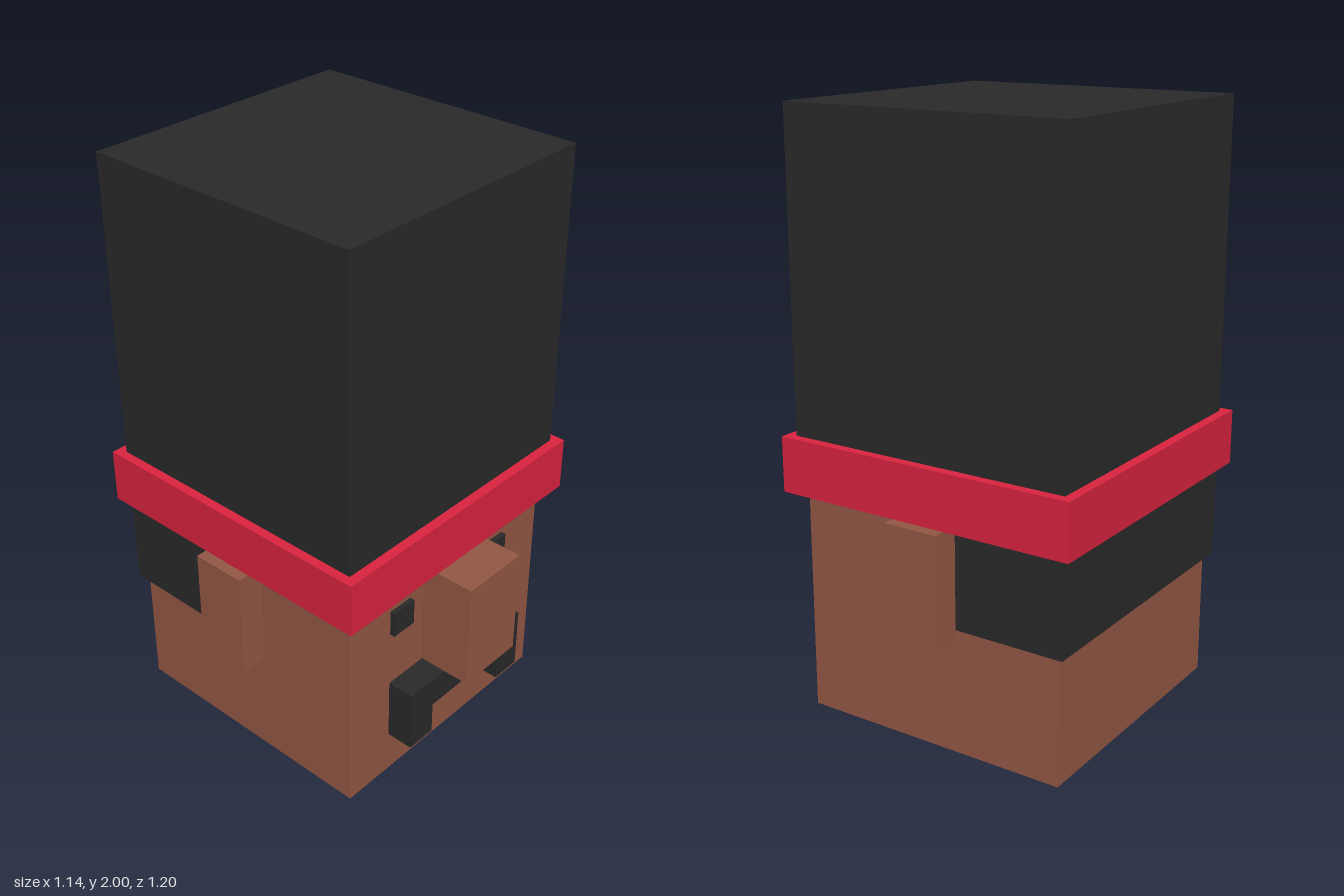
import * as THREE from 'three';

const skin = new THREE.MeshStandardMaterial({ color: 0x955945 });
const black = new THREE.MeshStandardMaterial({ color: 0x2a2a2a });
const red = new THREE.MeshStandardMaterial({ color: 0xdc2440 });

// Box given by its lower and upper limits on each axis
function block(name, material, [x0, x1], [y0, y1], [z0, z1]) {
  const mesh = new THREE.Mesh(new THREE.BoxGeometry(x1 - x0, y1 - y0, z1 - z0), material);
  mesh.position.set((x0 + x1) / 2, (y0 + y1) / 2, (z0 + z1) / 2);
  mesh.name = name;
  return mesh;
}

// Moustache: a bar with two drooping ends, cut as one outline
function moustache() {
  const outline = [
    [-0.285, 0.155], [-0.175, 0.155], [-0.175, 0.27], [0.175, 0.27],
    [0.175, 0.155], [0.285, 0.155], [0.285, 0.38], [-0.285, 0.38],
  ].map(([x, y]) => new THREE.Vector2(x, y));
  const geometry = new THREE.ExtrudeGeometry(new THREE.Shape(outline), { depth: 0.105, bevelEnabled: false });
  const mesh = new THREE.Mesh(geometry, black);
  mesh.position.z = 0.4;
  mesh.name = 'moustache';
  return mesh;
}

export function createModel() {
  const model = new THREE.Group();
  model.name = 'blockHead';

  // Head and face
  model.add(
    block('head', skin, [-0.475, 0.475], [0, 0.8], [-0.54, 0.41]),
    block('nose', skin, [-0.125, 0.125], [0.385, 0.765], [0.4, 0.6]),
    moustache(),
  );

  // Eyes and ears, mirrored
  for (const [side, s] of [['left', 1], ['right', -1]]) {
    const span = (a, b) => (s > 0 ? [a, b] : [-b, -a]);
    model.add(
      block(side + 'Eye', black, span(0.19, 0.285), [0.585, 0.677], [0.4, 0.428]),
      block(side + 'Ear', skin, span(0.46, 0.57), [0.385, 0.765], [-0.163, 0.03]),
    );
  }

  // Hair round the back, hat band and tall hat
  model.add(
    block('hair', black, [-0.5, 0.5], [0.437, 0.78], [-0.565, -0.183]),
    block('hatBand', red, [-0.532, 0.532], [0.765, 0.952], [-0.6, 0.467]),
    block('hat', black, [-0.5, 0.5], [0.9, 2], [-0.567, 0.433]),
  );
  return model;
}
